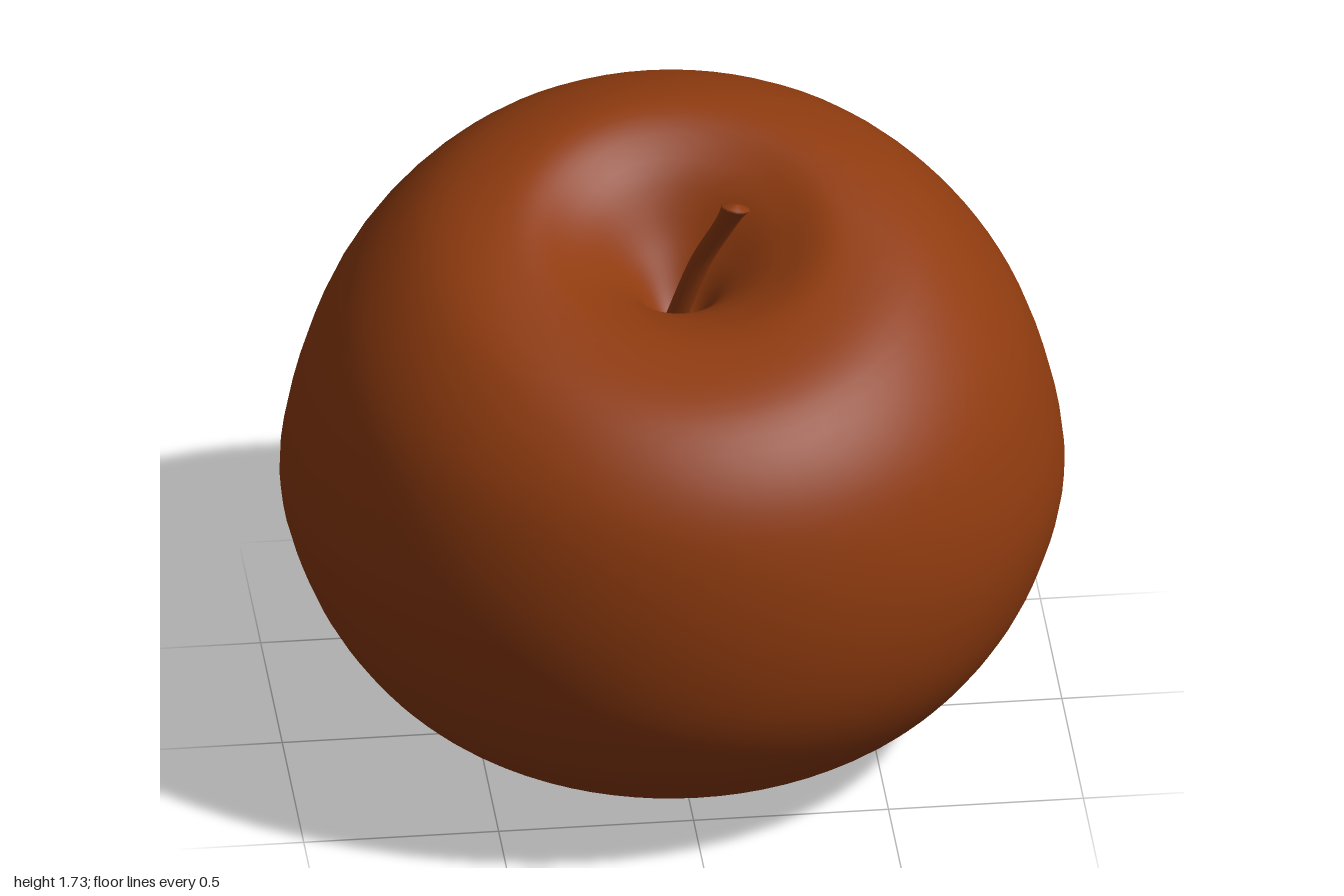
import * as THREE from 'three';

// Closed-ring surface: point(t, angle) runs from the top row (t = 0) to the bottom row (t = 1)
function ringSurface(rows, cols, point) {
  const positions = [], index = [];
  for (let i = 0; i <= rows; i++) {
    for (let j = 0; j < cols; j++) {
      positions.push(...point(i / rows, (j / cols) * Math.PI * 2));
      if (i === rows) continue;
      const k = (j + 1) % cols;
      const a = i * cols + j, b = a + cols, c = (i + 1) * cols + k, d = i * cols + k;
      index.push(a, b, c, a, c, d);
    }
  }
  const geometry = new THREE.BufferGeometry();
  geometry.setAttribute('position', new THREE.Float32BufferAttribute(positions, 3));
  geometry.setIndex(index);
  geometry.computeVertexNormals();
  return geometry;
}

const profile = (pairs) =>
  new THREE.CatmullRomCurve3(pairs.map(([r, y]) => new THREE.Vector3(r, y, 0)), false, 'catmullrom', 0.5);

// Profiles from the stem cavity over the shoulder to the bottom dimple
const frontProfile = profile([
  [0.13, 1.25], [0.18, 1.28], [0.26, 1.37], [0.4, 1.425], [0.57, 1.43], [0.8, 1.35], [0.95, 1.15], [0.99, 0.85],
  [0.935, 0.53], [0.78, 0.28], [0.56, 0.11], [0.33, 0.02], [0.19, 0.06], [0.09, 0.13], [0, 0.15],
]);
const sideProfile = profile([
  [0, 1.25], [0.05, 1.28], [0.13, 1.39], [0.27, 1.51], [0.43, 1.575], [0.67, 1.5], [0.89, 1.23], [1, 0.82],
  [0.945, 0.53], [0.8, 0.28], [0.6, 0.1], [0.39, 0.008], [0.2, 0.06], [0.1, 0.13], [0, 0.15],
]);
const backProfile = profile([
  [0.13, 1.25], [0.08, 1.29], [0, 1.42], [-0.11, 1.61], [-0.29, 1.695], [-0.6, 1.58], [-0.84, 1.28], [-0.985, 0.78],
  [-0.94, 0.5], [-0.8, 0.24], [-0.62, 0.08], [-0.42, 0.015], [-0.21, 0.06], [-0.1, 0.13], [0, 0.15],
]);

function fruitPoint(t, angle) {
  const f = frontProfile.getPoint(t), s = sideProfile.getPoint(t), b = backProfile.getPoint(t);
  const c = Math.cos(angle);
  return [
    s.x * Math.sin(angle),
    s.y + (c * (f.y - b.y)) / 2 + c * c * ((f.y + b.y) / 2 - s.y),
    (f.x + b.x) / 2 + (c * (f.x - b.x)) / 2,
  ];
}

// Leaning stem with a flared, slightly slanted tip
const stemPath = new THREE.CatmullRomCurve3([
  new THREE.Vector3(0.13, 1.735, 0.345),
  new THREE.Vector3(0.1, 1.64, 0.29),
  new THREE.Vector3(0.05, 1.5, 0.22),
  new THREE.Vector3(-0.02, 1.24, 0.13),
]);

function stemPoint(t, angle) {
  const p = stemPath.getPoint(t);
  const r = t === 0 ? 0 : 0.027 + 0.014 * Math.exp(-t * 9);
  const x = r * Math.sin(angle), z = r * Math.cos(angle);
  return [p.x + x, p.y - 0.25 * x + 0.2 * z, p.z + z];
}

export function createModel() {
  const model = new THREE.Group();
  const skin = new THREE.MeshStandardMaterial({ color: 0x8f3b0f });
  skin.name = 'russet brown';

  const add = (name, geometry, parent = model) => {
    const mesh = new THREE.Mesh(geometry, skin);
    mesh.name = name;
    parent.add(mesh);
    return mesh;
  };

  add('fruit', ringSurface(84, 72, fruitPoint));
  add('stem', ringSurface(24, 10, stemPoint));

  // Dried sepals lying in the bottom dimple
  const calyx = new THREE.Group();
  calyx.name = 'calyx';
  for (let i = 0; i < 5; i++) {
    const angle = (i / 5) * Math.PI * 2 + 0.3;
    const sepal = add('sepal', new THREE.ConeGeometry(0.045, 0.15, 6), calyx);
    sepal.scale.z = 0.35;
    sepal.position.set(0.08 * Math.sin(angle), 0.11, 0.08 * Math.cos(angle));
    sepal.rotation.set(1.85 + 0.15 * (i % 2), angle, 0, 'YXZ');
  }
  model.add(calyx);

  return model;
}
